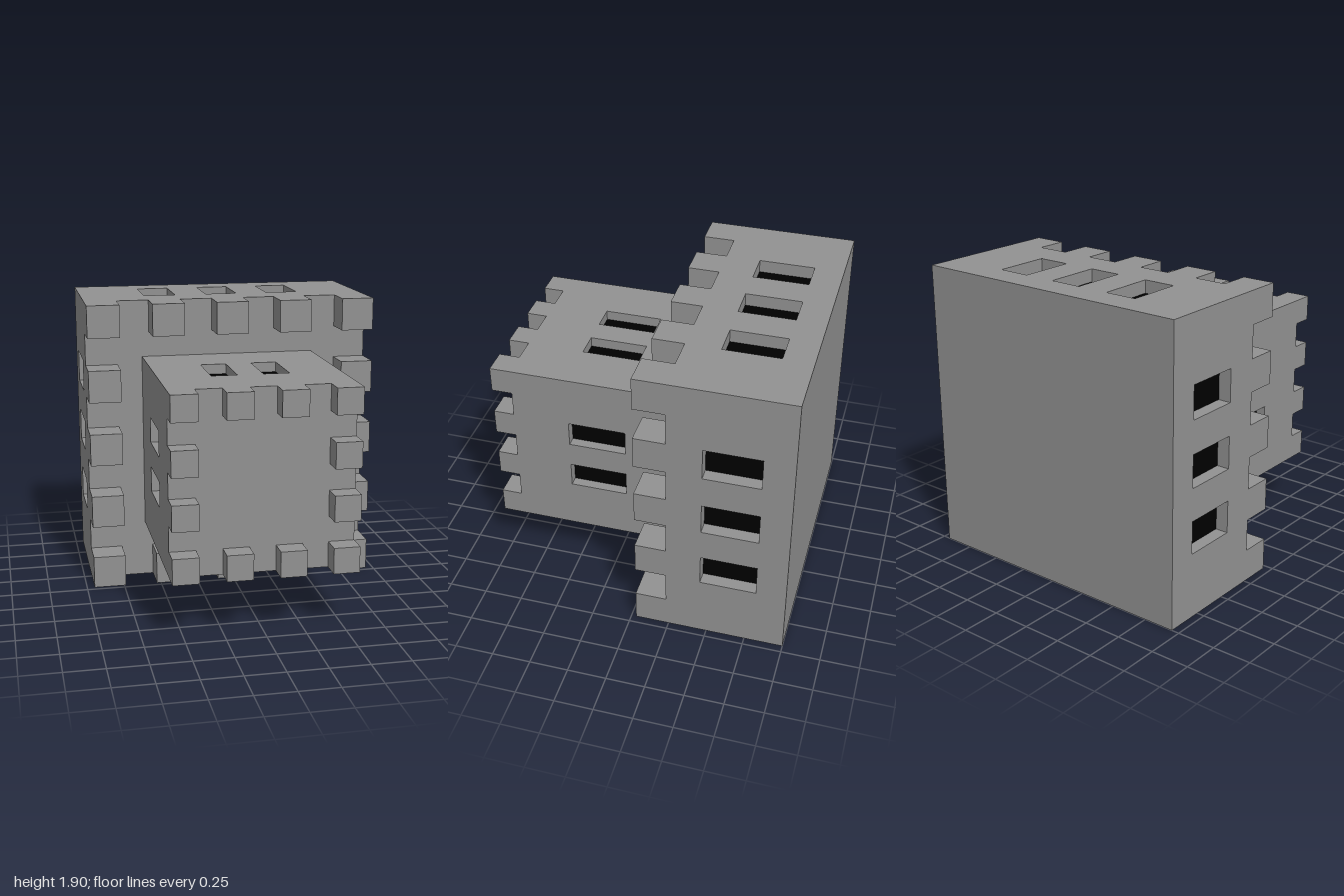
import * as THREE from 'three';

const stone = new THREE.MeshStandardMaterial({ color: 0x929292, flatShading: true });
const dark = new THREE.MeshStandardMaterial({ color: 0x000000 });
const CENTRE_Y = 0.95;

function box(name, w, h, d, x, y, z, material = stone) {
  const mesh = new THREE.Mesh(new THREE.BoxGeometry(w, h, d), material);
  mesh.name = name;
  mesh.position.set(x, y, z);
  return mesh;
}

// Flat wall facing +y, pierced by a row of windows
function wallGeometry(width, back, deck, depth, windows) {
  const shape = new THREE.Shape();
  const rect = (path, x0, x1, z0, z1) => {
    path.moveTo(x0, -z1);
    path.lineTo(x1, -z1);
    path.lineTo(x1, -z0);
    path.lineTo(x0, -z0);
    path.closePath();
  };
  rect(shape, -width / 2, width / 2, back, deck);
  for (const x of windows.centres) {
    const hole = new THREE.Path();
    rect(hole, x - windows.width / 2, x + windows.width / 2, windows.z0, windows.z1);
    shape.holes.push(hole);
  }
  return new THREE.ExtrudeGeometry(shape, { depth, bevelEnabled: false }).rotateX(-Math.PI / 2);
}

// Square tower tier lying on its side, battlements toward +z
function tier({ name, size, back, deck, tip, divisions, windowZ }) {
  const group = new THREE.Group();
  group.name = name;
  group.position.y = CENTRE_Y;
  const cell = size / divisions;
  const recess = cell * 0.4;
  const inner = size - 2 * recess;
  const length = deck - back;
  const [z0, z1] = windowZ;

  group.add(box(name + 'Core', inner, inner, length, 0, 0, (back + deck) / 2));

  // Windows sit on every second cell, leaving the corners solid
  const centres = [];
  for (let i = 2; i < divisions - 2; i += 2) {
    centres.push((i + 0.5) * cell - size / 2);
  }
  const windows = { centres, width: cell, z0, z1 };

  for (let k = 0; k < 4; k++) {
    const side = new THREE.Group();
    side.name = name + 'Side';
    side.rotation.z = k * Math.PI / 2;
    const wall = new THREE.Mesh(
      wallGeometry(k % 2 ? inner : size, back, deck, recess, windows), stone);
    wall.name = name + 'Wall';
    wall.position.y = inner / 2;
    side.add(wall);
    for (const x of centres) {
      side.add(box('windowPanel', cell, 0.004, z1 - z0, x, inner / 2, (z0 + z1) / 2, dark));
    }
    // Merlons on alternate cells; each side owns one corner
    for (let i = 0; i < divisions - 1; i += 2) {
      side.add(box('merlon', cell, cell, tip - deck,
        (i + 0.5) * cell - size / 2, (size - cell) / 2, (tip + deck) / 2));
    }
    group.add(side);
  }
  return group;
}

export function createModel() {
  const model = new THREE.Group();
  model.name = 'twoTierTower';
  model.add(tier({
    name: 'wideTier', size: 1.9, back: -1, deck: -0.232, tip: -0.032,
    divisions: 9, windowZ: [-0.81, -0.453],
  }));
  model.add(tier({
    name: 'narrowTier', size: 1.152, back: -0.232, deck: 0.868, tip: 1,
    divisions: 7, windowZ: [0.134, 0.503],
  }));
  return model;
}
